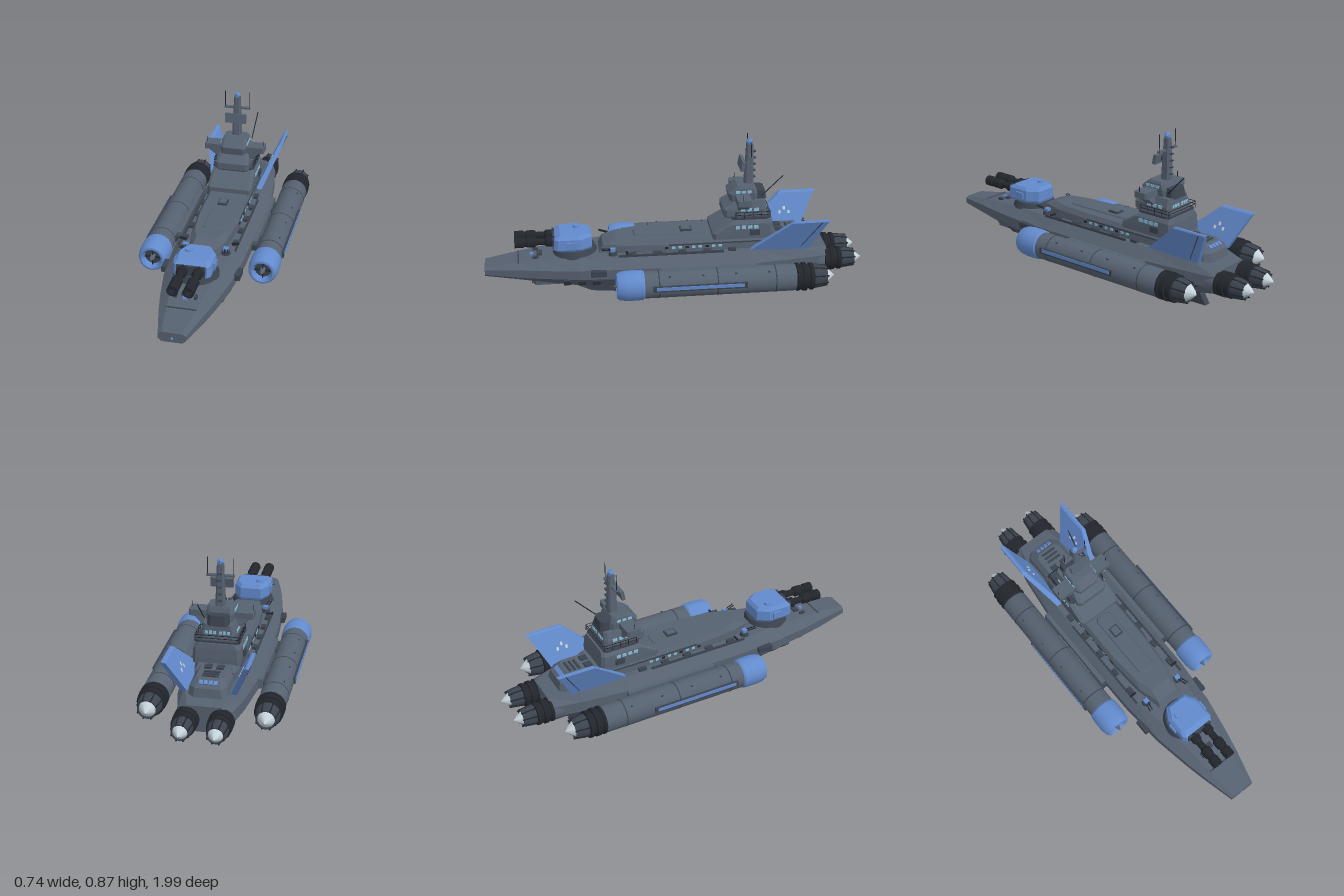
import * as THREE from 'three';
import { toCreasedNormals } from 'three/addons/utils/BufferGeometryUtils.js';

export function createModel() {
  const root = new THREE.Group();
  root.name = 'flyingWarship';
  const material = (name, color, side = THREE.FrontSide) => {
    const m = new THREE.MeshStandardMaterial({ color, side });
    m.name = name;
    return m;
  };
  const grey = material('hullGrey', 0x566170);
  const dark = material('darkGrey', 0x3b434e);
  const black = material('gunBlack', 0x22262c);
  const blue = material('accentBlue', 0x628acc, THREE.DoubleSide);
  const glass = material('windowCyan', 0x86bcd6);
  const pale = material('exhaustPale', 0xc6d3da);

  const add = (name, geo, mat, x = 0, y = 0, z = 0) => {
    const m = new THREE.Mesh(geo, mat);
    m.name = name;
    m.position.set(x, y, z);
    root.add(m);
    return m;
  };
  const box = (name, mat, w, h, d, x, y, z) => add(name, new THREE.BoxGeometry(w, h, d), mat, x, y, z);
  const pair = (fn) => [1, -1].forEach(fn);

  // Thin rod between two points
  const rod = (name, mat, a, b, r) => {
    const A = new THREE.Vector3(...a), B = new THREE.Vector3(...b), d = B.clone().sub(A);
    const m = add(name, new THREE.CylinderGeometry(r, r, d.length(), 6), mat);
    m.position.copy(A.add(B).multiplyScalar(0.5));
    m.quaternion.setFromUnitVectors(new THREE.Vector3(0, 1, 0), d.normalize());
    return m;
  };

  // Flat-shaded skin through rings of equal point count, capped at both ends
  const loft = (name, mat, rings) => {
    const p = [], n = rings[0].length;
    const tri = (a, b, c) => p.push(...a, ...b, ...c);
    for (let i = 0; i < rings.length - 1; i++) for (let j = 0; j < n; j++) {
      const k = (j + 1) % n, a = rings[i], b = rings[i + 1];
      tri(a[j], b[j], a[k]);
      tri(a[k], b[j], b[k]);
    }
    const f = rings[0], l = rings[rings.length - 1];
    for (let j = 1; j < n - 1; j++) {
      tri(f[0], f[j], f[j + 1]);
      tri(l[0], l[j + 1], l[j]);
    }
    const g = new THREE.BufferGeometry();
    g.setAttribute('position', new THREE.Float32BufferAttribute(p, 3));
    g.computeVertexNormals();
    return add(name, g, mat);
  };

  // Stacked plan outlines; each level is [y, [x, z] points of the +x half, back to front]
  const stack = (name, mat, levels) => loft(name, mat, levels.map(([y, half]) => [
    ...half.map(([x, z]) => [x, y, z]),
    ...half.slice().reverse().map(([x, z]) => [-x, y, z])]));
  const chamfer = (hx, zb, zf, c = 0.015) => [[hx - c, zb], [hx, zb + c], [hx, zf - c], [hx - c, zf]];

  // Turned part along z; profile is [radius, z] from back to front
  const turned = (name, mat, pts, x, y, n = 28) => {
    const g = new THREE.LatheGeometry(pts.map(([r, z]) => new THREE.Vector2(r, z)), n);
    g.rotateX(Math.PI / 2);
    return add(name, toCreasedNormals(g, 0.5), mat, x, y, 0);
  };

  // Hull: z, deck half width, deck y, beam, upper chine y, lower chine y, bottom half width, bottom y
  const hull = [
    [0.985, 0.05, 0.236, 0.068, 0.226, 0.2, 0.05, 0.185],
    [0.81, 0.072, 0.262, 0.112, 0.238, 0.195, 0.075, 0.168],
    [0.7, 0.085, 0.275, 0.136, 0.24, 0.195, 0.08, 0.15],
    [0.5, 0.11, 0.292, 0.172, 0.245, 0.195, 0.09, 0.122],
    [0.25, 0.14, 0.3, 0.19, 0.25, 0.195, 0.1, 0.11],
    [-0.4, 0.145, 0.302, 0.195, 0.25, 0.195, 0.1, 0.11],
    [-0.65, 0.13, 0.298, 0.165, 0.25, 0.19, 0.09, 0.115],
    [-0.81, 0.085, 0.275, 0.13, 0.245, 0.185, 0.08, 0.14]];
  loft('hull', grey, hull.map(([z, a, ya, b, yb, yc, d, yd]) => [
    [d, yd, z], [b, yc, z], [b, yb, z], [a, ya, z],
    [-a, ya, z], [-b, yb, z], [-b, yc, z], [-d, yd, z]]));
  box('bowSeam', dark, 0.15, 0.004, 0.006, 0, 0.263, 0.81);
  add('bowLamp', new THREE.SphereGeometry(0.007, 10, 8), blue, 0, 0.205, 0.985);

  // Keel blade and chin bay
  const keel = new THREE.Shape([[0.6, 0.13], [0.43, 0.05], [-0.07, 0.004], [-0.67, 0.02], [-0.6, 0.13]]
    .map(([z, y]) => new THREE.Vector2(-z, y)));
  const keelGeo = new THREE.ExtrudeGeometry(keel, { depth: 0.036, bevelEnabled: false });
  keelGeo.translate(0, 0, -0.018);
  keelGeo.rotateY(Math.PI / 2);
  add('keel', keelGeo, dark);
  stack('chinBay', grey, [[0.125, chamfer(0.068, 0.4, 0.735)], [0.18, chamfer(0.075, 0.4, 0.75)]]);
  pair((s) => {
    box('chinWindow', dark, 0.048, 0.03, 0.008, s * 0.03, 0.147, 0.74);
    // Bilge plates along the lower flank
    const plate = box('bilgePlate', grey, 0.008, 0.12, 0.7, s * 0.135, 0.142, -0.05);
    plate.rotation.z = -s * 0.72;
    for (let i = 0; i < 3; i++) {
      const rib = box('flankRib', dark, 0.01, 0.07, 0.04, s * (0.125 + i * 0.008), 0.16, 0.56 - i * 0.075);
      rib.rotation.z = -s * 0.8;
    }
    // Shoulders, pylons and side boxes
    box('shoulder', grey, 0.04, 0.05, 0.5, s * 0.195, 0.225, -0.17);
    [0.04, -0.35].forEach((z) => box('pylon', dark, 0.09, 0.03, 0.11, s * 0.2, 0.215, z));
    box('sideBox', dark, 0.035, 0.03, 0.08, s * 0.185, 0.235, 0.4);
    box('deckRail', dark, 0.008, 0.012, 0.55, s * 0.148, 0.308, 0.02);
    for (let i = 0; i < 5; i++) box('deckLocker', dark, 0.022, 0.016, 0.04, s * 0.13, 0.308, 0.22 - i * 0.13);
  });

  // Deckhouse and hatch
  stack('deckhouse', grey, [
    [0.295, [[0.1, -0.56], [0.115, -0.5], [0.115, 0.05], [0.1, 0.25], [0.068, 0.39]]],
    [0.34, [[0.1, -0.56], [0.112, -0.5], [0.112, 0.05], [0.097, 0.25], [0.062, 0.37]]],
    [0.366, [[0.085, -0.54], [0.098, -0.5], [0.098, 0.03], [0.085, 0.2], [0.055, 0.3]]]]);
  stack('hatchPlinth', grey, [[0.364, chamfer(0.048, -0.19, 0.21)], [0.374, chamfer(0.043, -0.185, 0.2)]]);
  box('hatchRim', dark, 0.05, 0.012, 0.06, 0, 0.377, -0.07);
  box('hatchLid', grey, 0.036, 0.014, 0.046, 0, 0.379, -0.07);
  pair((s) => {
    for (let i = 0; i < 9; i++) box('porthole', i % 3 ? glass : black, 0.004, 0.012, 0.018, s * 0.114, 0.325, 0.04 - i * 0.035);
    box('houseTrim', dark, 0.006, 0.006, 0.5, s * 0.113, 0.34, -0.22);
  });

  // Aft house with vents
  stack('aftHouse', grey, [[0.285, chamfer(0.1, -0.74, -0.5, 0.03)], [0.33, chamfer(0.092, -0.73, -0.5, 0.03)],
    [0.362, chamfer(0.07, -0.68, -0.5, 0.02)]]);
  for (let i = 0; i < 3; i++) box('aftVent', dark, 0.08, 0.008, 0.012, 0, 0.364, -0.61 - i * 0.025);
  pair((s) => box('aftHatch', dark, 0.035, 0.012, 0.04, s * 0.03, 0.366, -0.56));
  for (let i = 0; i < 4; i++) {
    const v = box('aftBluePanel', blue, 0.018, 0.008, 0.022, -0.036 + i * 0.024, 0.35, -0.705);
    v.rotation.x = -0.57;
  }

  // Bridge tower
  stack('bridgeBase', grey, [[0.36, chamfer(0.12, -0.52, -0.2)], [0.39, chamfer(0.12, -0.52, -0.2)],
    [0.44, chamfer(0.118, -0.515, -0.285)], [0.465, chamfer(0.1, -0.51, -0.33)]]);
  stack('bridgeWalk', dark, [[0.464, chamfer(0.112, -0.5, -0.3)], [0.474, chamfer(0.112, -0.5, -0.3)]]);
  stack('bridgeMiddle', grey, [[0.465, chamfer(0.085, -0.49, -0.27)], [0.475, chamfer(0.09, -0.49, -0.26)],
    [0.51, chamfer(0.09, -0.485, -0.26)], [0.555, chamfer(0.075, -0.48, -0.33)]]);
  stack('wingBrace', grey, [[0.51, chamfer(0.088, -0.395, -0.33, 0.005)], [0.56, chamfer(0.15, -0.385, -0.33, 0.005)]]);
  stack('bridgeWing', grey, [[0.558, chamfer(0.163, -0.395, -0.32, 0.006)], [0.59, chamfer(0.163, -0.395, -0.32, 0.006)]]);
  stack('bridgeTop', grey, [[0.55, chamfer(0.066, -0.44, -0.295)], [0.59, chamfer(0.07, -0.44, -0.288)],
    [0.618, chamfer(0.068, -0.43, -0.32)], [0.63, chamfer(0.062, -0.425, -0.335)]]);
  stack('bridgeAft', dark, [[0.55, chamfer(0.055, -0.49, -0.42)], [0.6, chamfer(0.05, -0.48, -0.42)]]);
  pair((s) => {
    for (let i = 0; i < 4; i++) box('baseWindow', glass, 0.005, 0.018, 0.022, s * 0.119, 0.425, -0.33 - i * 0.032);
    for (let i = 0; i < 3; i++) {
      box('middleWindow', glass, 0.006, 0.016, 0.024, s * 0.089, 0.51, -0.36 - i * 0.035);
      box('topWindow', glass, 0.006, 0.014, 0.022, s * 0.069, 0.602, -0.335 - i * 0.03);
      box('aftWindow', glass, 0.014, 0.016, 0.006, s * (0.015 + i * 0.02), 0.515, -0.484);
    }
    rod('wingAerial', black, [s * 0.155, 0.585, -0.35], [s * 0.155, 0.618, -0.35], 0.002);
    // Walkway railings
    [0.489, 0.504].forEach((y) => rod('walkRail', black, [s * 0.11, y, -0.32], [s * 0.11, y, -0.5], 0.0018));
    for (let i = 0; i < 5; i++) rod('railPost', black, [s * 0.11, 0.47, -0.32 - i * 0.045], [s * 0.11, 0.504, -0.32 - i * 0.045], 0.0018);
    box('baseFitting', dark, 0.012, 0.03, 0.05, s * 0.122, 0.395, -0.42);
  });
  [0.489, 0.504].forEach((y) => rod('aftRail', black, [-0.11, y, -0.5], [0.11, y, -0.5], 0.0018));
  rod('whipAerial', black, [0.07, 0.58, -0.46], [0.08, 0.69, -0.565], 0.0028);

  // Mast, radar, yard and beacon
  stack('mast', grey, [[0.625, chamfer(0.024, -0.425, -0.375, 0.008)], [0.845, chamfer(0.016, -0.418, -0.385, 0.006)]]);
  box('radarPanel', grey, 0.114, 0.05, 0.018, 0, 0.735, -0.362).rotation.x = -0.2;
  box('radarMount', dark, 0.025, 0.025, 0.03, 0, 0.735, -0.38);
  box('yard', grey, 0.14, 0.009, 0.018, 0, 0.784, -0.4);
  pair((s) => rod('yardAerial', black, [s * 0.065, 0.775, -0.4], [s * 0.065, 0.875, -0.4], 0.0022));
  for (let i = 0; i < 5; i++) box('mastRung', dark, 0.02, 0.006, 0.018, 0, 0.66 + i * 0.035, -0.425);
  add('beacon', new THREE.IcosahedronGeometry(0.019, 0), blue, 0, 0.855, -0.4);

  // Main turret
  add('turretRing', toCreasedNormals(new THREE.CylinderGeometry(0.103, 0.118, 0.035, 32), 0.5), dark, 0, 0.3, 0.51);
  const lid = (hx, zb, zf) => [[hx * 0.6, zb], [hx, zb + 0.06], [hx, zf - 0.02], [hx * 0.85, zf]];
  stack('turretHouse', blue, [[0.316, lid(0.088, 0.43, 0.61)], [0.33, lid(0.096, 0.425, 0.625)],
    [0.385, lid(0.094, 0.425, 0.62)], [0.402, lid(0.08, 0.44, 0.59)]]);
  box('turretMantlet', dark, 0.145, 0.055, 0.012, 0, 0.36, 0.624);
  add('turretHatch', new THREE.CylinderGeometry(0.018, 0.02, 0.012, 16), blue, -0.04, 0.406, 0.5);
  pair((s) => {
    turned('gunBarrel', black, [[0, 0.62], [0.027, 0.62], [0.027, 0.66], [0.018, 0.67], [0.018, 0.71], [0.028, 0.72],
      [0.028, 0.76], [0.023, 0.765], [0.023, 0.775], [0.028, 0.78], [0.028, 0.825], [0.02, 0.825], [0.018, 0.79], [0, 0.79]], s * 0.04, 0.362, 20);
    box('turretEar', blue, 0.012, 0.035, 0.05, s * 0.098, 0.355, 0.53);
    // Small deck guns beside the deckhouse nose
    add('deckGunBase', new THREE.CylinderGeometry(0.02, 0.024, 0.02, 12), dark, s * 0.105, 0.308, 0.32);
    box('deckGunShield', blue, 0.026, 0.018, 0.026, s * 0.105, 0.324, 0.32);
    [-0.007, 0.007].forEach((o) => rod('deckGunBarrel', black, [s * 0.105 + o, 0.325, 0.32], [s * 0.12 + o, 0.338, 0.38], 0.003));
    rod('flankGun', black, [s * 0.12, 0.318, 0.25], [s * 0.155, 0.322, 0.25], 0.006);
    box('bowBollard', dark, 0.014, 0.016, 0.03, s * 0.05, 0.277, 0.72);
  });
  box('bowWinch', dark, 0.05, 0.016, 0.03, 0, 0.276, 0.7);
  box('bowBlueBlock', blue, 0.018, 0.012, 0.018, 0, 0.275, 0.74);

  // Canted tail fins
  pair((s) => {
    const ring = (x, y, t, zb, zf) => [[x + t, y, zb], [x + t, y, zf], [x - t, y, zf], [x - t, y, zb]];
    loft('tailFin', blue, [ring(s * 0.122, 0.295, 0.016, -0.7, -0.39), ring(s * 0.2, 0.475, 0.012, -0.79, -0.6),
      ring(s * 0.203, 0.482, 0.006, -0.8, -0.61)]);
    for (let i = 0; i < 3; i++) {
      const m = box('finMark', pale, 0.003, 0.018, 0.012, s * 0.143, 0.38 + (i % 2) * 0.02, -0.6 - i * 0.025);
      m.position.x = s * (0.1435 + (i % 2) * 0.0087);
      m.rotation.z = -s * 0.41;
    }
    const edge = rod('finRudderLine', dark, [s * 0.142, 0.31, -0.66], [s * 0.213, 0.475, -0.755], 0.003);
    edge.name = 'finRudderLine';
  });

  // Rocket exhaust ending at tip, used on all four engines
  const exhaust = (x, y, tip, k) => {
    const prof = (pts) => pts.map(([r, z]) => [r * k, tip + z]);
    turned('exhaustCone', pale, prof([[0, 0], [0.022, 0.022], [0.043, 0.052], [0.043, 0.07]]), x, y, 20);
    turned('exhaustBell', dark, prof([[0.04, 0.07], [0.044, 0.042], [0.05, 0.042], [0.06, 0.085], [0.06, 0.12]]), x, y, 20);
    turned('exhaustRings', black, prof([[0.058, 0.11], [0.07, 0.115], [0.07, 0.132], [0.063, 0.135], [0.063, 0.148],
      [0.073, 0.15], [0.073, 0.17], [0.067, 0.173], [0.067, 0.185], [0.073, 0.188], [0.073, 0.2], [0.066, 0.205]]), x, y);
    for (let i = 0; i < 8; i++) {
      const a = (i + 0.5) * Math.PI / 4, c = Math.cos(a) * k, d = Math.sin(a) * k;
      rod('exhaustRib', black, [x + c * 0.061, y + d * 0.061, tip + 0.11], [x + c * 0.05, y + d * 0.05, tip + 0.037], 0.004);
    }
  };

  pair((s) => {
    // Stern engines
    exhaust(s * 0.085, 0.205, -1, 0.86);
    turned('sternEngine', grey, [[0.056, -0.81], [0.06, -0.79], [0.06, -0.6]], s * 0.085, 0.205);
    // Side nacelles
    const x = s * 0.29, y = 0.21;
    exhaust(x, y, -0.81, 1);
    turned('nacelleBody', grey, [[0.064, -0.61], [0.07, -0.595], [0.07, 0.18]], x, y);
    [-0.5, -0.2, 0.1].forEach((z) => turned('nacelleSeam', dark, [[0.07, z], [0.0712, z + 0.001], [0.0712, z + 0.005], [0.07, z + 0.006]], x, y));
    turned('nacelleCowl', blue, [[0.069, 0.175], [0.076, 0.185], [0.078, 0.21], [0.078, 0.265], [0.073, 0.3], [0.065, 0.316],
      [0.055, 0.318], [0.046, 0.308], [0.043, 0.27]], x, y);
    turned('intakeFan', dark, [[0, 0.27], [0.045, 0.27], [0.045, 0.28], [0, 0.28]], x, y);
    turned('intakeHub', grey, [[0.014, 0.275], [0.013, 0.305], [0.006, 0.325], [0, 0.337]], x, y, 16);
    box('intakeVane', black, 0.086, 0.004, 0.015, x, y, 0.29);
    box('intakeVane', black, 0.004, 0.086, 0.015, x, y, 0.29);
    box('nacelleRail', dark, 0.016, 0.03, 0.48, s * 0.36, 0.217, -0.105);
    box('nacelleStripe', blue, 0.006, 0.018, 0.45, s * 0.368, 0.22, -0.105);
    for (let i = 0; i < 4; i++) box('nacelleStud', dark, 0.006, 0.006, 0.012, s * 0.33, 0.268, 0.05 - i * 0.17);
  });
  return root;
}
